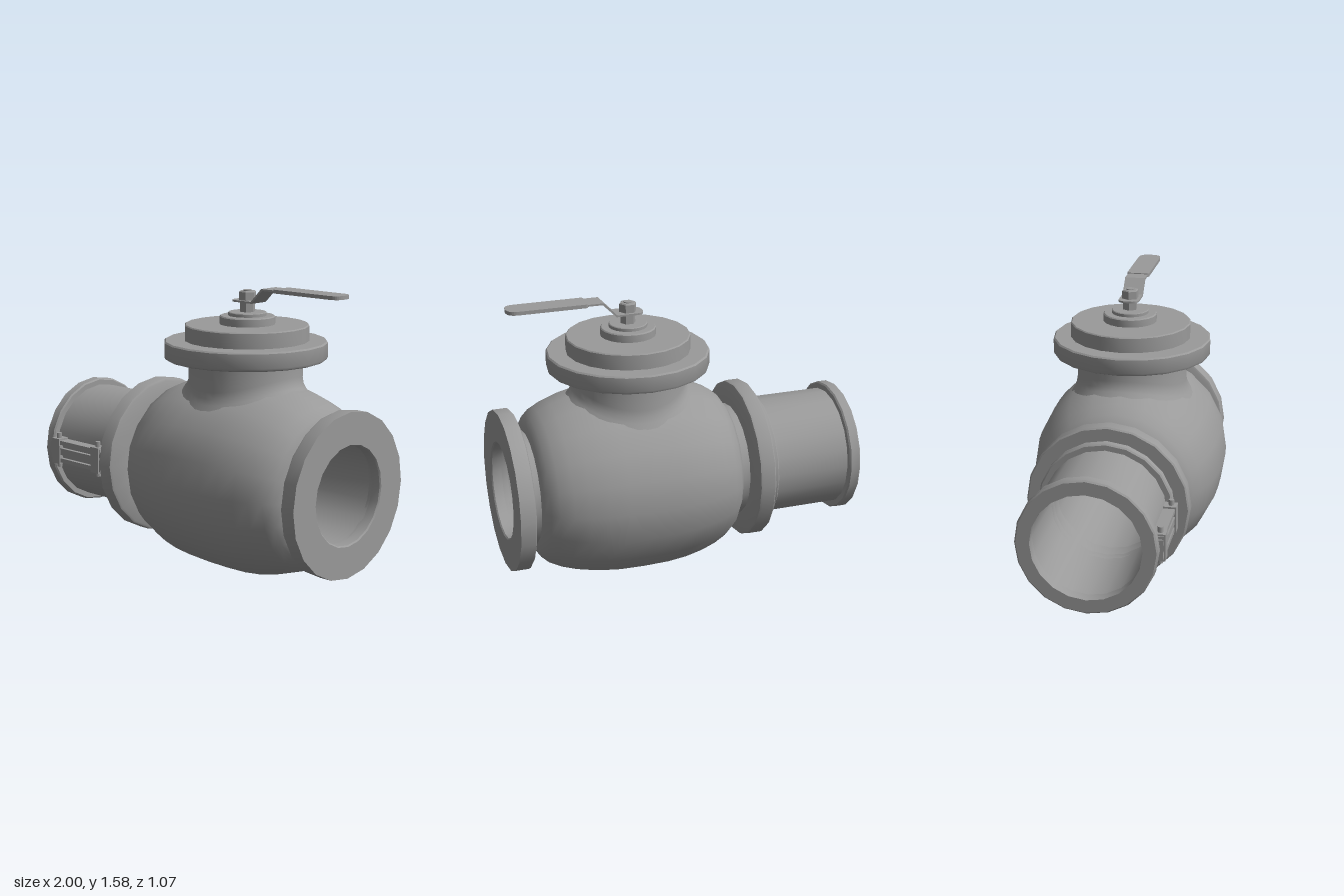
import * as THREE from 'three';
import { toCreasedNormals } from 'three/addons/utils/BufferGeometryUtils.js';

const castIron = new THREE.MeshStandardMaterial({ color: 0x9a9a9a });
const AXIS_Y = 0.54; // height of the bore axis
const COVER_X = 0.265, COVER_Z = -0.012; // stem axis
const SIDES = 20;

function add(parent, name, geometry, x = 0, y = 0, z = 0) {
  const mesh = new THREE.Mesh(geometry, castIron);
  mesh.name = name;
  mesh.position.set(x, y, z);
  parent.add(mesh);
  return mesh;
}

// Turned part from [radius, height] pairs, listed upwards on the outside
function turned(points, sides = SIDES) {
  const profile = points.map(([r, h]) => new THREE.Vector2(r, h));
  return toCreasedNormals(new THREE.LatheGeometry(profile, sides), 0.6);
}

// Turned part lying along x
const turnedX = (points) => turned(points).rotateZ(-Math.PI / 2);

// Solid disc with a chamfered upper rim
function disc(r, y0, y1, c = 0.006, sides = SIDES) {
  return turned([[0, y0], [r, y0], [r, y1 - c], [r - c, y1], [0, y1]], sides);
}

// Ring along x with chamfered outer rims
function ring(outer, inner, x0, x1, c = 0.008) {
  return turnedX([[inner, x0], [outer - c, x0], [outer, x0 + c], [outer, x1 - c],
    [outer - c, x1], [inner, x1], [inner, x0]]);
}

// Flat shape seen from above, given as x and -z, with vertical thickness
function slab(shape, y0, thickness) {
  return new THREE.ExtrudeGeometry(shape, { depth: thickness, bevelEnabled: false, curveSegments: 8 })
    .rotateX(-Math.PI / 2).translate(0, y0, 0);
}

function roundedBar(x0, x1, halfWidth, r0, r1) {
  const s = new THREE.Shape();
  s.moveTo(x0 + r0, -halfWidth);
  s.lineTo(x1 - r1, -halfWidth);
  s.quadraticCurveTo(x1, -halfWidth, x1, -halfWidth + r1);
  s.lineTo(x1, halfWidth - r1);
  s.quadraticCurveTo(x1, halfWidth, x1 - r1, halfWidth);
  s.lineTo(x0 + r0, halfWidth);
  s.quadraticCurveTo(x0, halfWidth, x0, halfWidth - r0);
  s.lineTo(x0, -halfWidth + r0);
  s.quadraticCurveTo(x0, -halfWidth, x0 + r0, -halfWidth);
  return s;
}

function buildRun() {
  const run = new THREE.Group();
  run.name = 'pipeRun';
  run.position.y = AXIS_Y;

  // Bulging body with its two short necks and the bore
  add(run, 'body', turnedX([
    [0.32, -0.36], [0.32, -0.295], [0.36, -0.288], [0.4, -0.262], [0.438, -0.22], [0.473, -0.15],
    [0.5, -0.07], [0.522, 0.03], [0.534, 0.14], [0.537, 0.28], [0.534, 0.42], [0.522, 0.53],
    [0.5, 0.63], [0.473, 0.71], [0.438, 0.78], [0.4, 0.822], [0.36, 0.848], [0.32, 0.855],
    [0.32, 0.915], [0.3, 0.915], [0.3, -0.36],
  ]));

  // End flanges: crisp outer faces, drafted and rounded inner faces
  add(run, 'inletFlange', turnedX([
    [0.3, -0.45], [0.442, -0.45], [0.45, -0.442], [0.45, -0.372], [0.446, -0.361], [0.435, -0.355],
    [0.32, -0.345], [0.3, -0.345], [0.3, -0.45],
  ]));
  add(run, 'outletFlange', turnedX([
    [0.3, 0.9], [0.32, 0.9], [0.435, 0.91], [0.446, 0.916], [0.45, 0.927], [0.45, 1],
    [0.275, 1], [0.268, 0.993], [0.268, 0.94], [0.3, 0.94], [0.3, 0.9],
  ]));

  // Pipe spool with a collar at each end
  add(run, 'spool', turnedX([[0.3, -0.985], [0.337, -0.985], [0.337, -0.445], [0.3, -0.445], [0.3, -0.985]]));
  add(run, 'endCollar', ring(0.375, 0.295, -1, -0.935));
  add(run, 'flangeCollar', ring(0.375, 0.3, -0.5, -0.448));
  return run;
}

// Ribbed clamp on the front of the spool
function buildClamp() {
  const clamp = new THREE.Group();
  clamp.name = 'spoolClamp';
  clamp.position.set(-0.715, AXIS_Y, 0);
  add(clamp, 'clampPlate', new THREE.BoxGeometry(0.42, 0.13, 0.085), 0, 0, 0.3275);
  for (const [y, height] of [[-0.053, 0.024], [0, 0.04], [0.053, 0.024]]) {
    add(clamp, 'clampRib', new THREE.BoxGeometry(0.42, height, 0.03), 0, y, 0.376);
  }
  for (const side of [-1, 1]) {
    const x = side * 0.17;
    add(clamp, 'clampLug', new THREE.BoxGeometry(0.066, 0.15, 0.07), x, 0, 0.363);
    add(clamp, 'clampBolt', new THREE.CylinderGeometry(0.015, 0.015, 0.205, 8), x, 0.003, 0.367);
    add(clamp, 'clampEndStrip', new THREE.BoxGeometry(0.03, 0.1, 0.06), side * 0.205, 0, 0.36);
  }
  return clamp;
}

// Neck whose filleted foot follows the crown of the body
function neckGeometry() {
  const rows = [[0.355, -0.012], [0.332, 0.008], [0.319, 0.03], [0.313, 0.06], [0.313, null]];
  const profile = rows.map(([r], i) => new THREE.Vector2(r, i));
  const geometry = new THREE.LatheGeometry(profile, SIDES * 2);
  const p = geometry.attributes.position;
  for (let i = 0; i < p.count; i++) {
    const rise = rows[Math.round(p.getY(i))][1];
    const x = p.getX(i), z = p.getZ(i);
    const bodyRadius = 0.537 - 0.29 * x * x;
    p.setY(i, rise === null ? 1.175 : AXIS_Y + Math.sqrt(bodyRadius ** 2 - z * z) + rise);
  }
  return toCreasedNormals(geometry, 0.9);
}

function buildBonnet() {
  const bonnet = new THREE.Group();
  bonnet.name = 'bonnet';
  bonnet.position.set(COVER_X, 0, 0);
  add(bonnet, 'bonnetNeck', neckGeometry());
  add(bonnet, 'bonnetFlange', turned([
    [0, 1.172], [0.313, 1.172], [0.428, 1.182], [0.442, 1.188], [0.448, 1.2], [0.448, 1.277],
    [0.44, 1.285], [0, 1.285],
  ]));
  add(bonnet, 'coverPlate', disc(0.341, 1.28, 1.372), 0, 0, -0.008);
  add(bonnet, 'packingPlate', disc(0.152, 1.365, 1.418), 0, 0, COVER_Z);
  add(bonnet, 'packingRing', disc(0.105, 1.41, 1.438, 0.004), 0, 0, COVER_Z);
  return bonnet;
}

function buildHandle() {
  const handle = new THREE.Group();
  handle.name = 'handle';
  handle.position.set(COVER_X, 0, COVER_Z);
  add(handle, 'stem', disc(0.042, 1.43, 1.495, 0.002, 6)).rotation.y = Math.PI / 6;
  add(handle, 'stemNut', disc(0.048, 1.498, 1.552, 0.006, 6)).rotation.y = Math.PI / 6;
  add(handle, 'stemTip', new THREE.CylinderGeometry(0.024, 0.024, 0.01, 12), 0, 1.552, 0);

  // Flat hub, bent arm and rounded grip
  add(handle, 'leverHub', slab(roundedBar(-0.08, 0.08, 0.058, 0.045, 0.004), 1.492, 0.01));
  const bend = new THREE.Shape([
    [0.07, 1.492], [0.08, 1.492], [0.156, 1.568], [0.26, 1.568],
    [0.26, 1.578], [0.15, 1.578], [0.075, 1.502], [0.07, 1.502],
  ].map(([x, y]) => new THREE.Vector2(x, y)));
  add(handle, 'leverArm', new THREE.ExtrudeGeometry(bend, { depth: 0.116, bevelEnabled: false }), 0, 0, -0.058);
  add(handle, 'leverGrip', slab(roundedBar(0.235, 0.672, 0.064, 0.015, 0.06), 1.563, 0.02));
  return handle;
}

export function createModel() {
  const model = new THREE.Group();
  model.name = 'valve';
  model.add(buildRun(), buildClamp(), buildBonnet(), buildHandle());
  return model;
}
